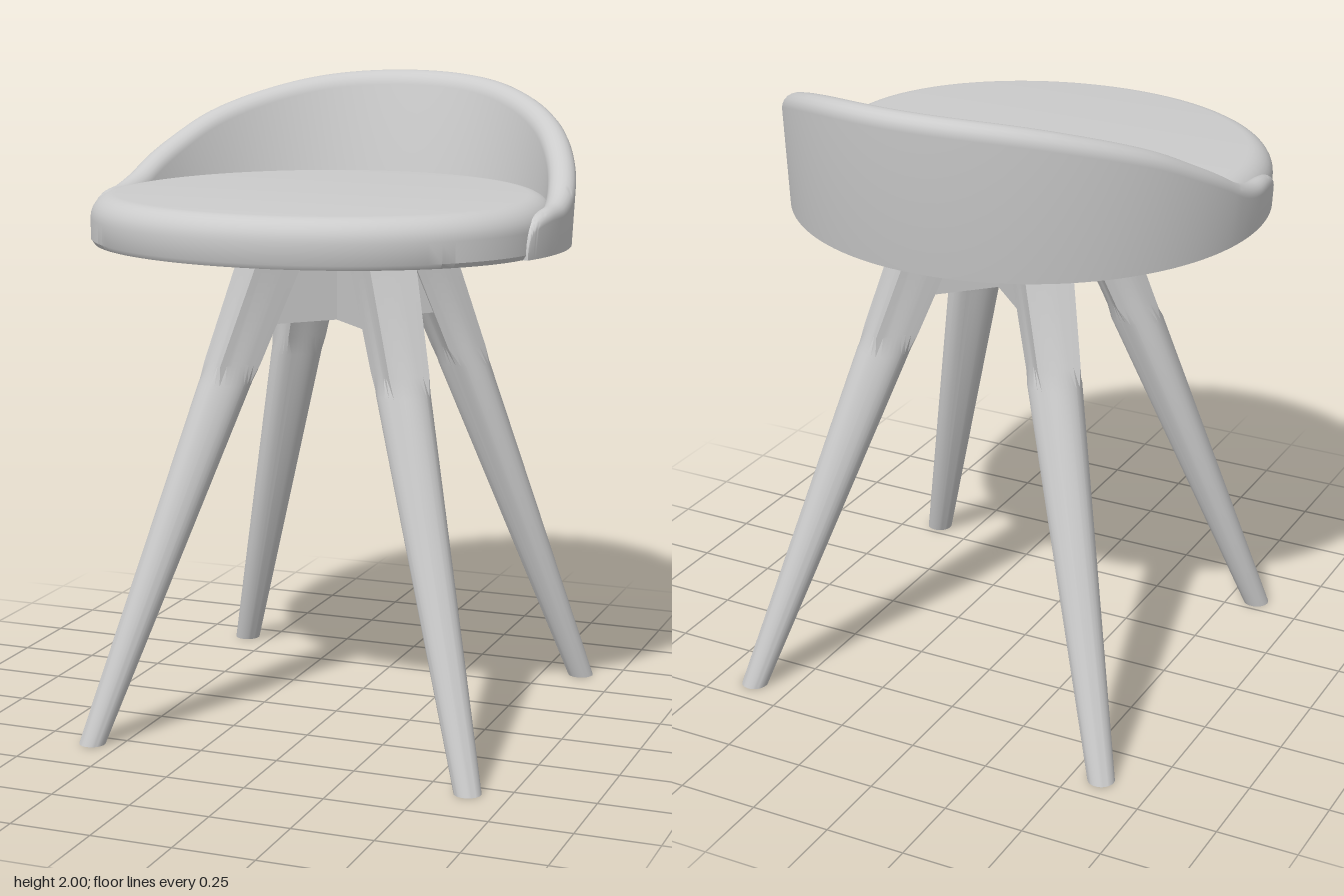
import * as THREE from 'three';
import { toCreasedNormals } from 'three/addons/utils/BufferGeometryUtils.js';

const material = new THREE.MeshStandardMaterial({ color: 0xcccccc });

function addMesh(parent, geometry, name) {
  const mesh = new THREE.Mesh(geometry, material);
  mesh.name = name;
  parent.add(mesh);
  return mesh;
}

// Skin a row of closed rings (arrays of [x, y, z]) and cap both ends.
function loft(rings, crease = 0.6) {
  const n = rings[0].length, last = (rings.length - 1) * n, index = [];
  for (let i = 0; i < rings.length - 1; i++) {
    for (let j = 0; j < n; j++) {
      const k = (j + 1) % n;
      const a = i * n + j, b = i * n + k, c = b + n, d = a + n;
      index.push(a, b, d, b, c, d);
    }
  }
  for (let j = 1; j < n - 1; j++) {
    index.push(0, j + 1, j, last, last + j, last + j + 1);
  }
  const geometry = new THREE.BufferGeometry();
  geometry.setAttribute('position', new THREE.Float32BufferAttribute(rings.flat(2), 3));
  geometry.setIndex(index);
  return toCreasedNormals(geometry, crease);
}

const ringOf = (n, fn) => Array.from({ length: n }, (_, j) => fn((j / n) * Math.PI * 2));

// The underside drops slightly towards the back.
const undersideY = (z) => 1.525 + 0.014 * z;

// Round cushion, longer behind its widest line than in front.
function seatGeometry() {
  const profile = [[0.985, 0], [1, 0.015], [1, 0.08]];
  for (let i = 1; i <= 8; i++) {
    const a = (i / 8) * Math.PI / 2;
    profile.push([0.89 + 0.11 * Math.cos(a), 0.08 + 0.075 * Math.sin(a)]);
  }
  return loft(profile.map(([r, h]) => ringOf(96, (a) => {
    const s = -Math.sin(a) * r;
    const z = 0.15 + s * (s > 0 ? 0.6 : 0.78);
    const base = undersideY(z);
    return [0.705 * r * Math.cos(a), base + h * (1.68 - base) / 0.155, z];
  })));
}

// Wraparound back: section follows the rim, sweeping from one tip to the other.
function backrestGeometry() {
  // angle from the back, rim height, thickness
  const half = [
    [0, 2.0, 0.09], [0.376, 1.985, 0.09], [0.66, 1.945, 0.09], [0.964, 1.875, 0.088],
    [1.18, 1.80, 0.085], [1.318, 1.75, 0.083], [1.45, 1.70, 0.08], [1.58, 1.672, 0.073],
    [1.72, 1.662, 0.062], [1.83, 1.64, 0.05], [1.88, 1.61, 0.035], [1.897, 1.57, 0.02],
  ];
  const mirrored = half.slice(1).reverse().map(([a, h, t]) => [-a, h, t]);
  const rim = new THREE.CatmullRomCurve3(
    [...mirrored, ...half].map((p) => new THREE.Vector3(...p)), false, 'centripetal');

  const rings = rim.getPoints(132).map(({ x: angle, y: height, z: thick }) => {
    const s = Math.sin(angle), c = Math.cos(angle);
    const point = (depth, y) => {
      const up = (y - 1.52) / 0.48;
      const d = depth * thick * (1 + 0.3 * (height - y) / 0.48);
      const lean = 0.075 * Math.max(0, c) * up;
      return [
        (0.735 + 0.01 * Math.min(1, up * 3) - d) * s,
        y,
        0.04 - (0.72 + lean - d) * c,
      ];
    };
    const base = undersideY(0.04 - 0.72 * c);
    const r = thick / 2;
    const section = [point(0, base)];
    for (let i = 0; i <= 10; i++) {
      const a = (i / 10) * Math.PI;
      section.push(point((1 - Math.cos(a)) / 2, height - r + r * Math.sin(a)));
    }
    section.push(point(1, base));
    return section;
  });
  return loft(rings, 0.7);
}

// Splayed leg: round below, turning square at the joint.
function legGeometry() {
  // height, distance from the centre, half width, squareness
  const sections = [
    [0, 0.86, 0.041, 0], [1.1, 0.41, 0.082, 0],
    [1.16, 0.386, 0.066, 1], [1.48, 0.255, 0.077, 1],
  ];
  return loft(sections.map(([y, centre, w, square]) => ringOf(32, (a) => {
    const c = Math.cos(a), s = Math.sin(a);
    const r = square ? w / Math.max(Math.abs(c), Math.abs(s)) : w;
    return [centre + r * c, y, -r * s];
  })), 0.5);
}

export function createModel() {
  const model = new THREE.Group();
  model.name = 'stool';

  addMesh(model, seatGeometry(), 'seat');
  addMesh(model, backrestGeometry(), 'backrest');

  // Four legs on a crossed pair of rails
  const base = new THREE.Group();
  base.name = 'base';
  base.position.set(0.018, 0, -0.05);
  const leg = legGeometry();
  for (let i = 0; i < 4; i++) {
    addMesh(base, leg, 'leg').rotation.y = Math.PI / 4 + i * Math.PI / 2;
  }
  const rail = new THREE.BoxGeometry(0.58, 0.199, 0.13);
  for (const turn of [1, -1]) {
    const mesh = addMesh(base, rail, 'crossRail');
    mesh.position.y = 1.3795;
    mesh.rotation.y = turn * Math.PI / 4;
  }
  model.add(base);

  return model;
}
